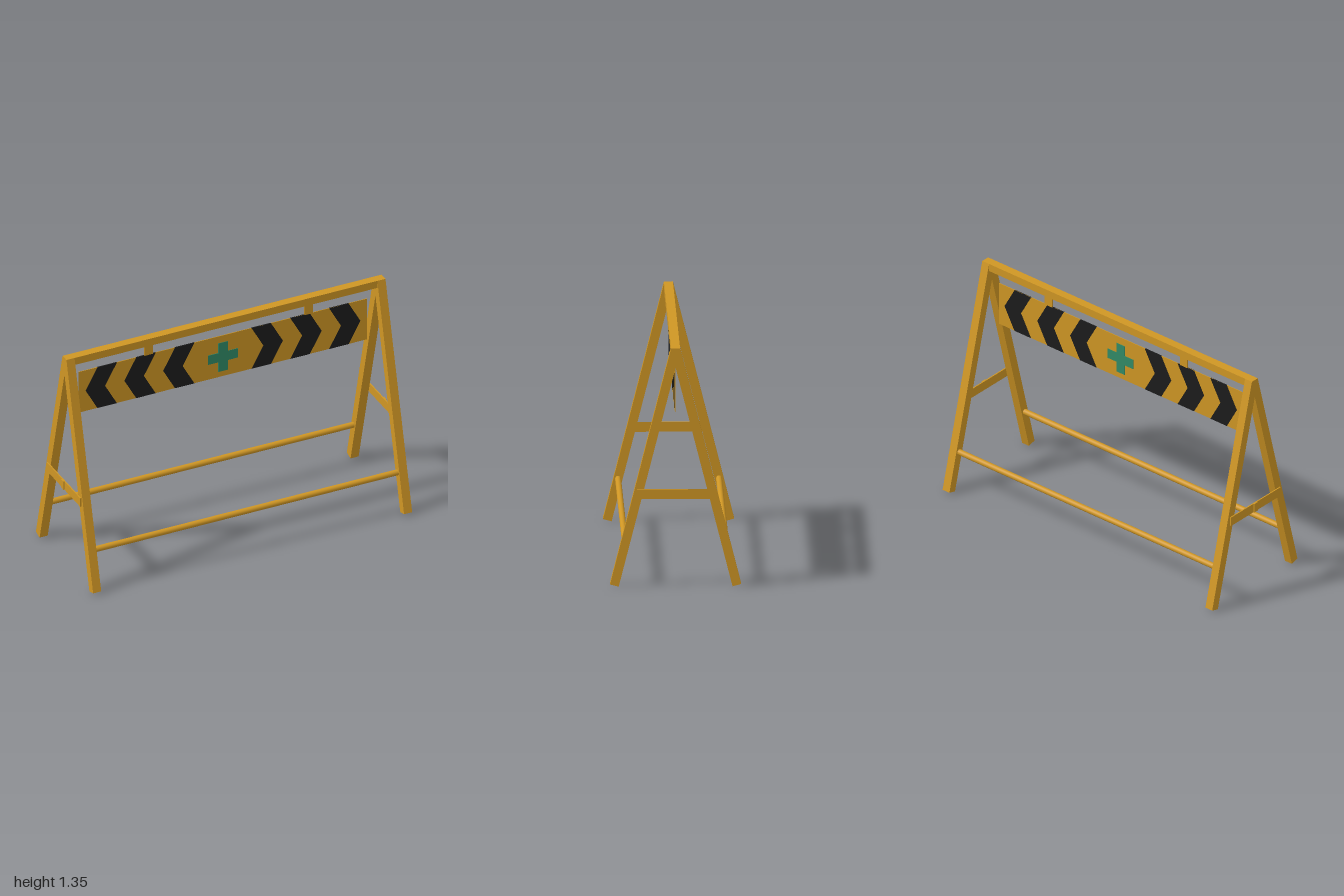
import * as THREE from 'three';

const yellow = new THREE.MeshStandardMaterial({ color: 0xcf9624 });
const black = new THREE.MeshStandardMaterial({ color: 0x1c1c1c });
const green = new THREE.MeshStandardMaterial({ color: 0x318a66 });

export function createModel() {
  const group = new THREE.Group();

  const add = (name, geometry, material, x, y, z) => {
    const mesh = new THREE.Mesh(geometry, material);
    mesh.name = name;
    mesh.position.set(x, y, z);
    group.add(mesh);
    return mesh;
  };
  const box = (name, w, h, d, x, y, z) =>
    add(name, new THREE.BoxGeometry(w, h, d), yellow, x, y, z);
  // Flat outline extruded and centred on its own depth
  const plate = (points, depth) => {
    const shape = new THREE.Shape(points.map(([x, y]) => new THREE.Vector2(x, y)));
    return new THREE.ExtrudeGeometry(shape, { depth, bevelEnabled: false }).translate(0, 0, -depth / 2);
  };

  // A-shaped end frames: two splayed square legs mitred at the apex
  const half = [[0.025, 1.35], [0.365, 0.013], [0.317, 0], [0, 1.24]];
  const outline = [...half, ...half.slice(0, 3).reverse().map(([z, y]) => [-z, y])];
  const frame = plate(outline, 0.05).rotateY(Math.PI / 2);

  for (const side of [-1, 1]) {
    const label = side > 0 ? 'left' : 'right';
    add(label + 'EndFrame', frame, yellow, side * 0.962, 0, 0);
    // Folding brace made of two overlapping straps
    box(label + 'BraceFront', 0.007, 0.055, 0.23, side * 0.9905, 0.525, 0.099);
    box(label + 'BraceBack', 0.007, 0.055, 0.197, side * 0.9905, 0.525, -0.1125);
    box(label + 'BraceHinge', 0.006, 0.055, 0.03, side * 0.997, 0.525, -0.003);
    // Hangers carrying the sign panel
    box(label + 'Hanger', 0.053, 0.075, 0.008, 0.027 + side * 0.495, 1.27, 0);
  }

  // Top rail between the frames
  box('topRail', 1.924, 0.046, 0.05, 0, 1.327, 0);

  // Round lower rails, front and back
  for (const side of [-1, 1]) {
    const rod = new THREE.CylinderGeometry(0.017, 0.017, 1.9, 20).rotateZ(Math.PI / 2);
    add(side > 0 ? 'frontLowerRail' : 'backLowerRail', rod, yellow, 0, 0.241, side * 0.281);
  }

  // Sign panel
  const cx = -0.0075, cy = 1.1025, h = 0.1325;
  box('signPanel', 1.785, 2 * h, 0.004, cx, cy, 0);

  // Chevrons pointing outwards, showing on both faces
  for (const side of [-1, 1]) {
    for (const tip of [0.37, 0.61, 0.85]) {
      const points = [[tip, 0], [tip - 0.073, h], [tip - 0.193, h],
        [tip - 0.12, 0], [tip - 0.193, -h], [tip - 0.073, -h]];
      add('chevron', plate(points.map(([x, y]) => [side * x, y]), 0.007), black, cx, cy, 0);
    }
  }

  // Raised cross in the middle
  const a = 0.03, b = 0.093;
  const cross = [[a, a], [a, b], [-a, b], [-a, a], [-b, a], [-b, -a],
    [-a, -a], [-a, -b], [a, -b], [a, -a], [b, -a], [b, a]];
  add('cross', plate(cross, 0.01), green, cx, 1.098, 0);

  return group;
}
